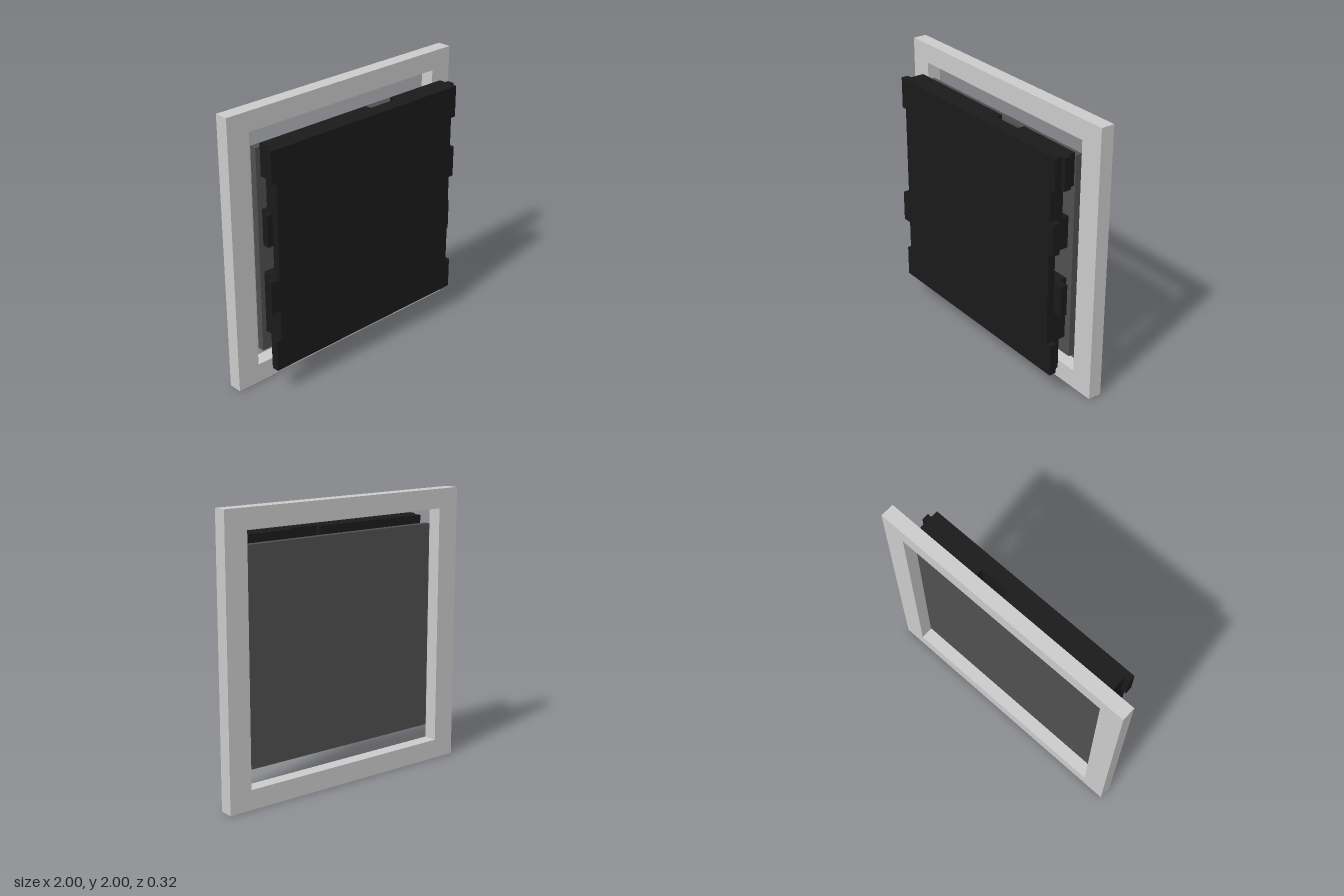
import * as THREE from 'three';

const grey = new THREE.MeshStandardMaterial({ color: 0xcccccc });
const dark = new THREE.MeshStandardMaterial({ color: 0x505050 });
const black = new THREE.MeshStandardMaterial({ color: 0x1a1a1a });

// box given by its minimum and maximum corners
function addBox(parent, name, material, [x0, y0, z0], [x1, y1, z1]) {
  const mesh = new THREE.Mesh(new THREE.BoxGeometry(x1 - x0, y1 - y0, z1 - z0), material);
  mesh.position.set((x0 + x1) / 2, (y0 + y1) / 2, (z0 + z1) / 2);
  mesh.name = name;
  parent.add(mesh);
}

// counter-clockwise rectangle used for the frame and its opening
function rectangle(target, x0, y0, x1, y1) {
  target.moveTo(x0, y0);
  target.lineTo(x1, y0);
  target.lineTo(x1, y1);
  target.lineTo(x0, y1);
  target.closePath();
  return target;
}

export function createModel() {
  const model = new THREE.Group();
  model.name = 'framedPanel';

  // square frame at the back
  const outline = rectangle(new THREE.Shape(), -1, 0, 1, 2);
  outline.holes.push(rectangle(new THREE.Path(), -0.83, 0.14, 0.83, 1.86));
  const frame = new THREE.Mesh(new THREE.ExtrudeGeometry(outline, { depth: 0.1, bevelEnabled: false }), grey);
  frame.position.z = -0.16;
  frame.name = 'frame';
  model.add(frame);

  // thin backing sheet in the opening
  addBox(model, 'backingSheet', dark, [-0.8, 0.25, -0.09], [0.8, 1.75, -0.04]);

  // front block: seven rows, up to three layers deep (front, middle, back).
  // Each layer lists its left and right ends.
  const plain = [-0.8, 0.8];
  const rows = [
    [[-0.84, 0.84], [-0.8, 0.87], [-0.8, 0.84]],
    [plain, plain],
    [[-0.8, 0.84], [-0.84, 0.8], plain],
    [plain],
    [[-0.87, 0.8], [-0.8, 0.87], plain],
    [plain, plain, plain],
    [[-0.84, 0.84], plain],
  ];
  const block = new THREE.Group();
  block.name = 'frontBlock';
  model.add(block);
  const size = 1.6 / 7;
  const zs = [0.16, 0.107, 0.056, 0.005];
  rows.forEach((layers, r) => {
    const top = 1.8 - r * size;
    layers.forEach(([x0, x1], k) => {
      // the back layer is interrupted by a vertical channel
      const spans = k === 2 ? [[x0, size / 2], [size * 1.5, x1]] : [[x0, x1]];
      for (const [a, b] of spans) {
        addBox(block, ['frontBar', 'middleBar', 'backBar'][k], black,
          [a, top - size, zs[k + 1]], [b, top, zs[k]]);
      }
    });
  });
  return model;
}
